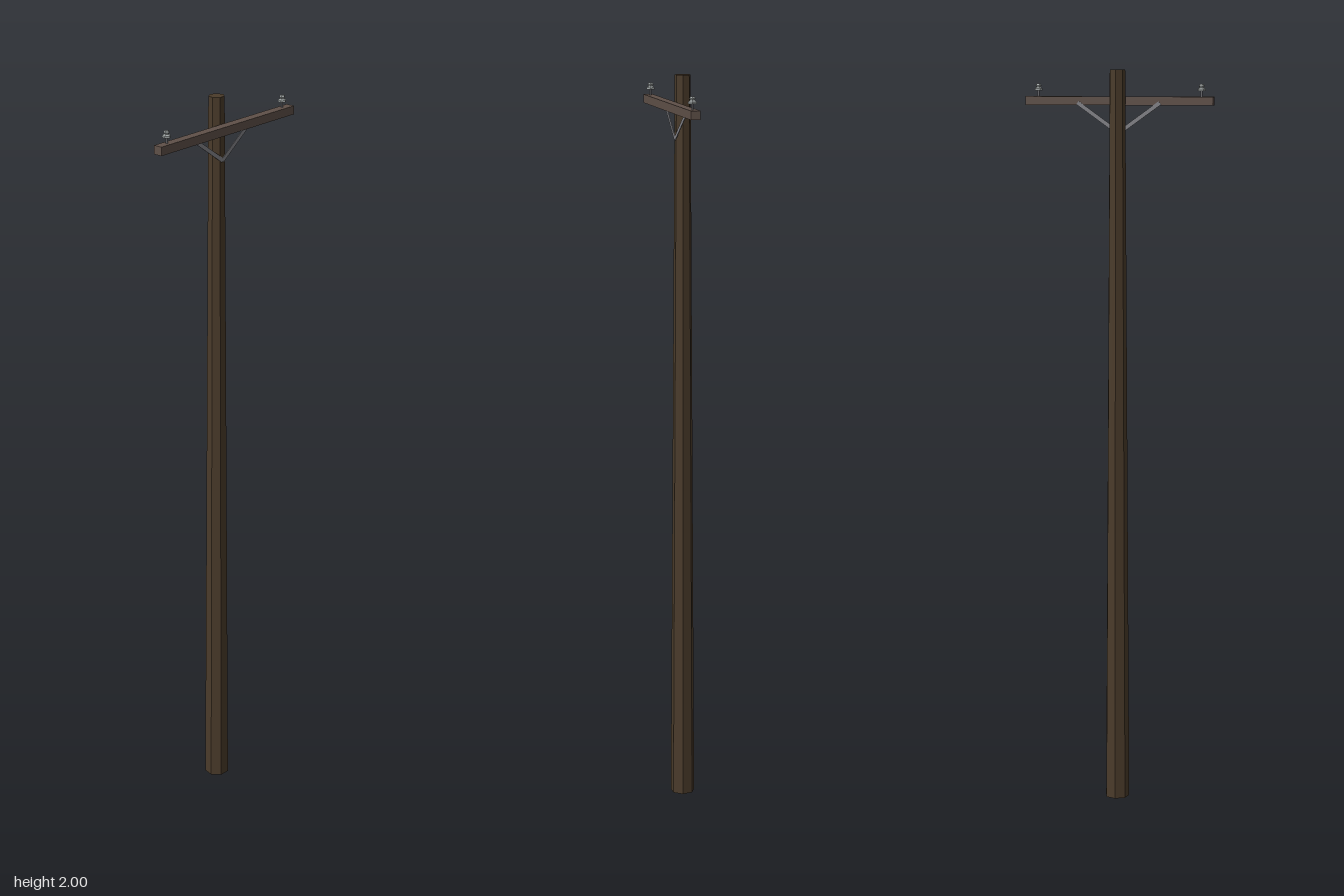
import * as THREE from 'three';

const material = (color) => new THREE.MeshStandardMaterial({ color, flatShading: true });

export function createModel() {
  const group = new THREE.Group();
  const poleWood = material(0x4a3b2a);
  const armWood = material(0x5f5048);
  const steel = material(0x85858a);
  const glass = material(0xa3a9a9);

  const add = (name, geometry, mat, x, y, z, parent = group) => {
    const mesh = new THREE.Mesh(geometry, mat);
    mesh.name = name;
    mesh.position.set(x, y, z);
    parent.add(mesh);
    return mesh;
  };

  // Tapered seven-sided pole with a flat side to the front
  add('pole', new THREE.CylinderGeometry(0.0215, 0.0335, 2, 7, 1, false, Math.PI),
    poleWood, 0, 1, -0.0075);

  // Crossarm against the front of the pole
  add('crossarm', new THREE.BoxGeometry(0.51, 0.023, 0.025), armWood, 0, 1.917, 0.0245);

  // Insulator profile: flared skirt, waist and rounded head
  const profile = [[0, 0], [0.0115, 0], [0.0115, 0.005], [0.006, 0.009], [0.008, 0.013], [0.006, 0.018], [0, 0.018]]
    .map(([r, y]) => new THREE.Vector2(r, y));

  for (const side of [-1, 1]) {
    // Flat steel brace leaning from the pole face to behind the arm
    const low = new THREE.Vector3(0, 1.832, 0.0135);
    const high = new THREE.Vector3(side * 0.112, 1.912, 0.011);
    const brace = add('brace', new THREE.BoxGeometry(0.011, low.distanceTo(high), 0.002), steel, 0, 0, 0);
    brace.position.copy(low).lerp(high, 0.5);
    brace.quaternion.setFromUnitVectors(new THREE.Vector3(0, 1, 0), high.clone().sub(low).normalize());

    // Insulator on its pin near the arm end
    const insulator = new THREE.Group();
    insulator.name = 'insulator';
    insulator.position.set(side * 0.222, 1.928, 0.0245);
    add('pin', new THREE.CylinderGeometry(0.003, 0.003, 0.02, 5), steel, 0, 0.009, 0, insulator);
    add('cap', new THREE.LatheGeometry(profile, 5), glass, 0, 0.016, 0, insulator);
    group.add(insulator);
  }
  return group;
}
